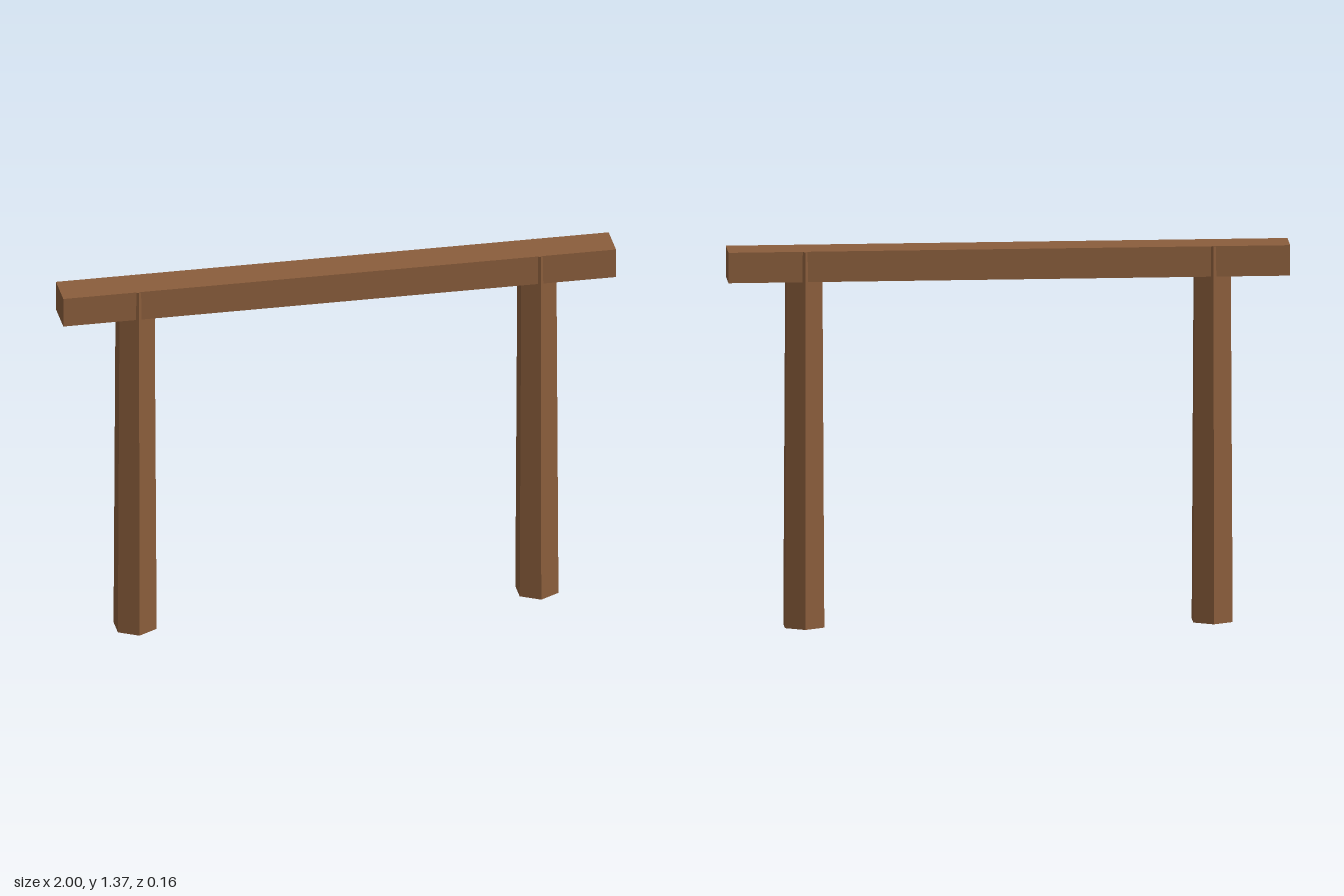
import * as THREE from 'three';

export function createModel() {
  const group = new THREE.Group();
  const wood = new THREE.MeshStandardMaterial({ color: 0x8b5e3c, flatShading: true });
  wood.name = 'brown wood';

  // Horizontal beam across the top
  const beam = new THREE.Mesh(new THREE.BoxGeometry(2, 0.11, 0.136), wood);
  beam.name = 'crossbeam';
  beam.position.y = 1.31;
  group.add(beam);

  // Tapered hexagonal posts, corners facing front and back, running up through the beam
  const postHeight = 1.364;
  const postGeometry = new THREE.CylinderGeometry(0.073, 0.081, postHeight, 6);
  for (const [name, side] of [['leftPost', 1], ['rightPost', -1]]) {
    const post = new THREE.Mesh(postGeometry, wood);
    post.name = name;
    post.position.set(side * 0.727, postHeight / 2, 0);
    group.add(post);
  }
  return group;
}
